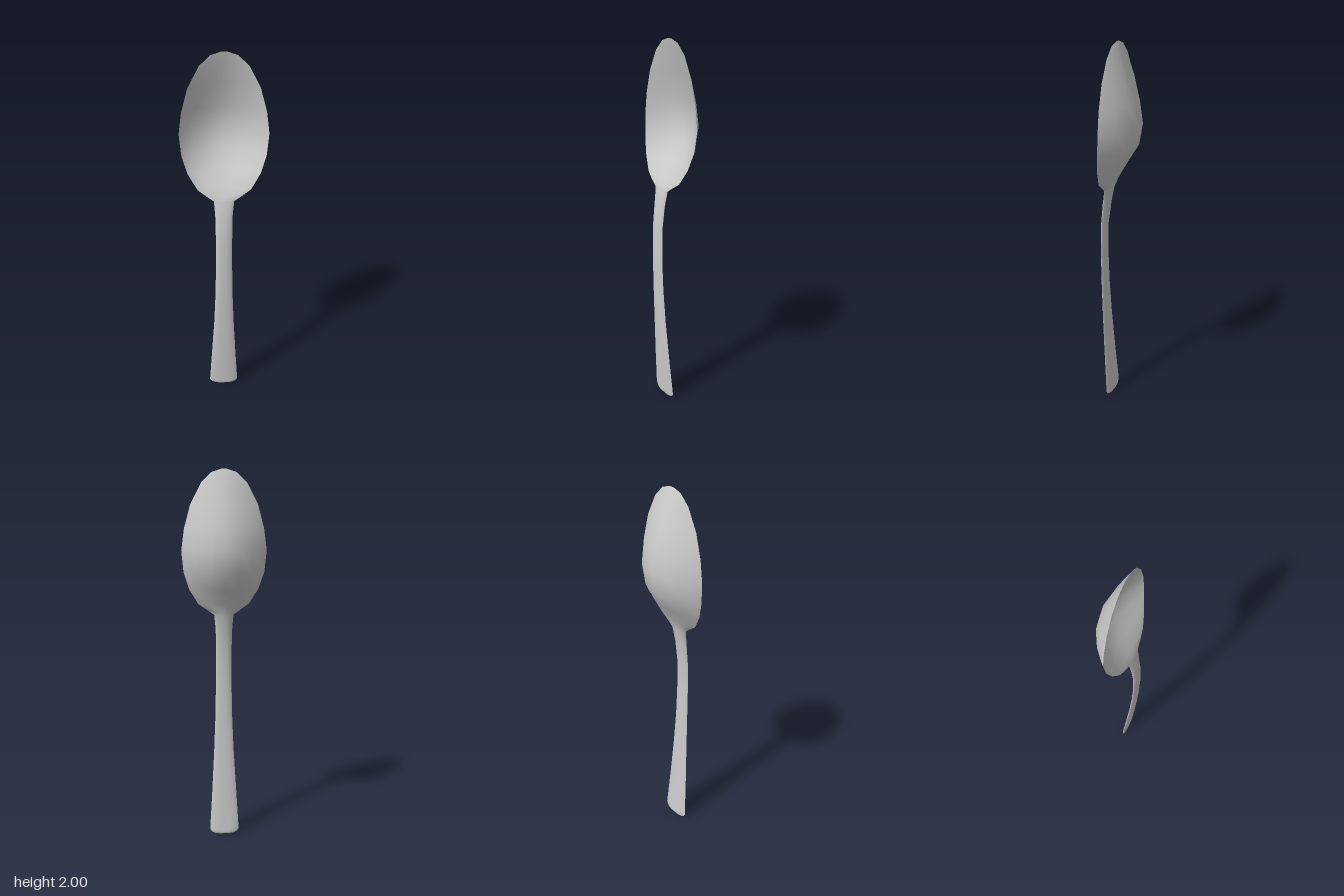
import * as THREE from 'three';

// Cross-sections from handle end to bowl tip:
// [y, half width, centre x, edge z, front centre z, back centre z, fullness]
const sections = [
  [0.00, 0.035, -0.004, 0.049, 0.049, 0.049, 4],
  [0.004, 0.055, -0.004, 0.049, 0.057, 0.040, 4],
  [0.012, 0.070, -0.004, 0.049, 0.060, 0.038, 4],
  [0.03, 0.081, -0.004, 0.050, 0.061, 0.039, 4],
  [0.25, 0.068, -0.004, 0.065, 0.076, 0.054, 4],
  [0.50, 0.054, -0.003, 0.080, 0.091, 0.070, 4],
  [0.70, 0.046, -0.003, 0.089, 0.100, 0.079, 4],
  [0.87, 0.043, -0.003, 0.093, 0.104, 0.083, 4],
  [1.05, 0.042, -0.003, 0.091, 0.102, 0.080, 4],
  [1.18, 0.044, -0.003, 0.077, 0.089, 0.061, 4],
  [1.26, 0.051, -0.002, 0.066, 0.073, 0.042, 3],
  [1.285, 0.085, -0.001, 0.064, 0.064, 0.034, 2.5],
  [1.32, 0.133, 0, 0.055, 0.046, 0.020, 2],
  [1.40, 0.180, 0, 0.038, -0.004, -0.026, 2],
  [1.49, 0.208, 0, 0.022, -0.066, -0.085, 2],
  [1.60, 0.218, 0, 0.013, -0.090, -0.104, 2],
  [1.71, 0.203, 0, 0.013, -0.074, -0.087, 2],
  [1.83, 0.170, 0, 0.013, -0.038, -0.050, 2],
  [1.935, 0.115, 0, 0.013, -0.005, -0.013, 2],
  [1.985, 0.062, 0, 0.013, 0.009, 0.006, 2],
  [2.00, 0.015, 0, 0.013, 0.013, 0.013, 2],
];
const across = [-1, -0.92, -0.68, -0.34, 0, 0.34, 0.68, 0.92, 1];

// One smooth sheet, crowned or hollowed between its two edges
function sheet(front) {
  const positions = [], index = [], n = across.length;
  for (const [y, w, cx, edge, zFront, zBack, p] of sections) {
    for (const t of across) {
      const depth = (front ? zFront : zBack) - edge;
      positions.push(cx + t * w, y, edge + depth * (1 - Math.abs(t) ** p));
    }
  }
  for (let r = 0; r < sections.length - 1; r++) {
    for (let c = 0; c < n - 1; c++) {
      const a = r * n + c, b = a + 1, d = a + n, e = d + 1;
      if (front) index.push(a, b, e, a, e, d);
      else index.push(a, e, b, a, d, e);
    }
  }
  const geometry = new THREE.BufferGeometry();
  geometry.setAttribute('position', new THREE.Float32BufferAttribute(positions, 3));
  geometry.setIndex(index);
  geometry.computeVertexNormals();
  return geometry;
}

export function createModel() {
  const group = new THREE.Group();
  group.name = 'spoon';
  const material = new THREE.MeshStandardMaterial({ color: 0xcccccc });
  // Front and back meet in a sharp rim all the way round
  for (const front of [true, false]) {
    const mesh = new THREE.Mesh(sheet(front), material);
    mesh.name = front ? 'spoonFront' : 'spoonBack';
    group.add(mesh);
  }
  return group;
}
